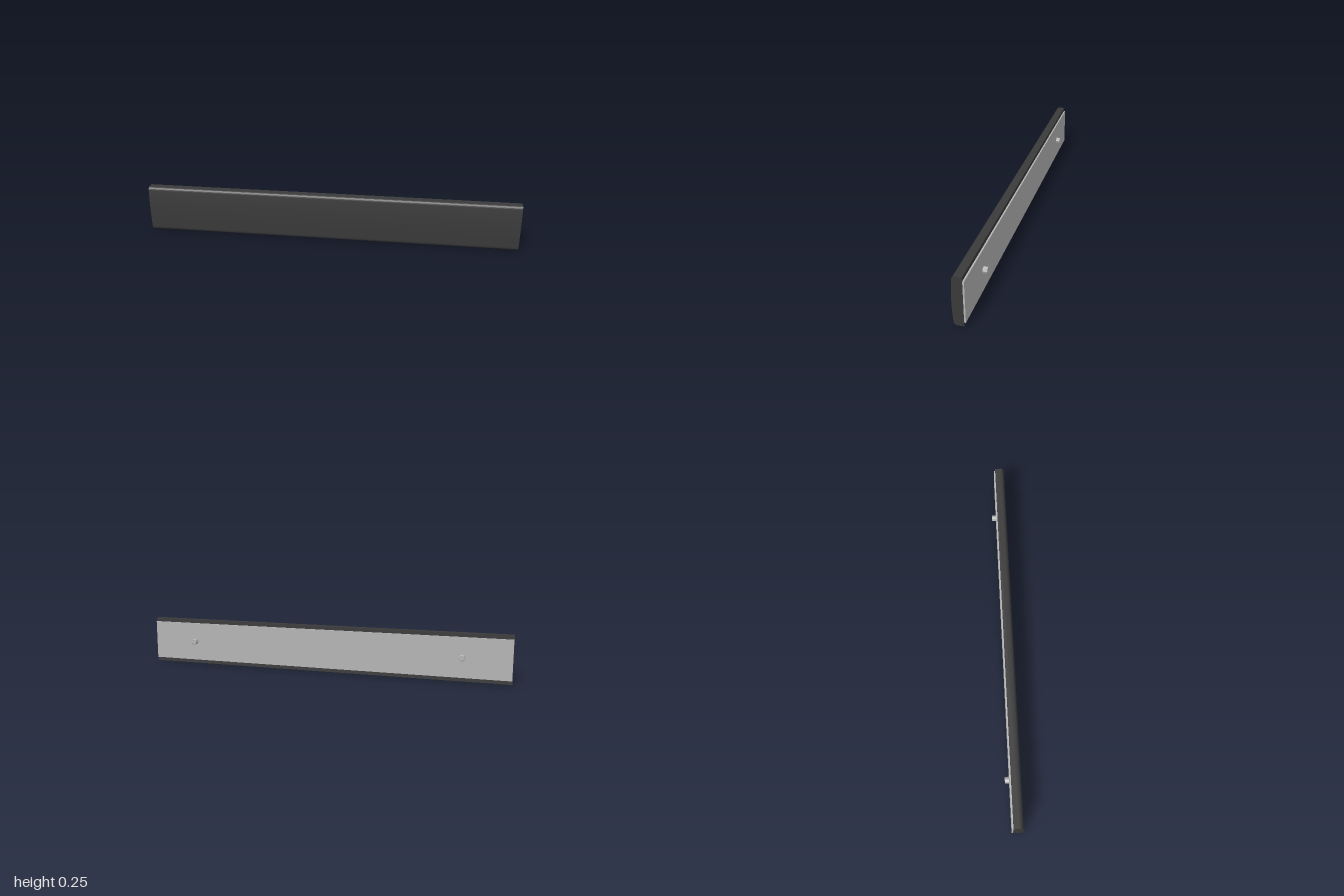
import * as THREE from 'three';

const material = (name, color) => {
  const m = new THREE.MeshStandardMaterial({ color });
  m.name = name;
  return m;
};

export function createModel() {
  const rubber = material('dark rubber', 0x3a3a3a);
  const steel = material('grey steel', 0xb4b4b4);
  const group = new THREE.Group();
  group.name = 'bumperRail';
  const add = (name, geometry, mat, x, y, z) => {
    const mesh = new THREE.Mesh(geometry, mat);
    mesh.name = name;
    mesh.position.set(x, y, z);
    group.add(mesh);
  };

  // Rail section (drawn with x pointing backwards), flat back and gently bowed front
  const section = new THREE.Shape();
  section.moveTo(0.01, 0);
  section.lineTo(0.01, 0.25);
  section.lineTo(-0.02, 0.25);
  section.quadraticCurveTo(-0.037, 0.249, -0.038, 0.23);
  section.quadraticCurveTo(-0.046, 0.125, -0.038, 0.02);
  section.quadraticCurveTo(-0.037, 0.001, -0.02, 0);
  section.closePath();
  const rail = new THREE.ExtrudeGeometry(section, { depth: 2, bevelEnabled: false, curveSegments: 10 });
  rail.rotateY(Math.PI / 2);
  add('rail', rail, rubber, -1, 0, 0);

  // Mounting plate on the back
  add('backPlate', new THREE.BoxGeometry(1.998, 0.21, 0.008), steel, 0, 0.125, -0.014);

  // Two chamfered mounting studs
  const profile = [[0, 0], [0.0165, 0], [0.0165, 0.02], [0.0145, 0.022], [0, 0.022]]
    .map(([r, h]) => new THREE.Vector2(r, h));
  const stud = new THREE.LatheGeometry(profile, 8).toNonIndexed();
  stud.computeVertexNormals();
  stud.rotateX(-Math.PI / 2);
  for (const side of [-1, 1]) add(side > 0 ? 'leftStud' : 'rightStud', stud, steel, side * 0.75, 0.126, -0.018);

  return group;
}
